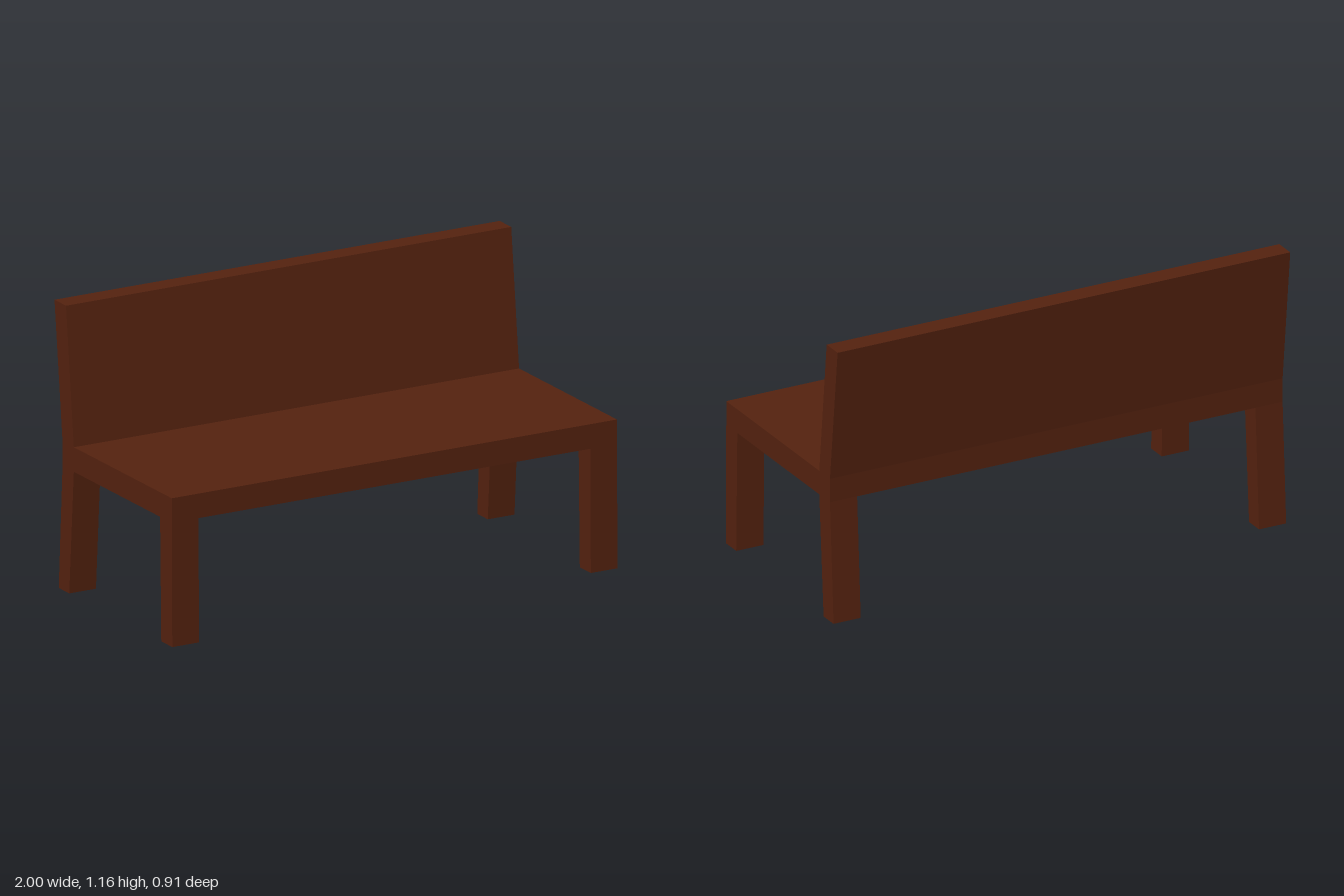
import * as THREE from 'three';

const LENGTH = 2, LEG_WIDTH = 0.12;

// Extrudes a side profile of [z, y] points along x, centred on x = cx
function sideProfile(name, points, width, cx, material) {
  const shape = new THREE.Shape(points.map(([z, y]) => new THREE.Vector2(z, y)));
  const geometry = new THREE.ExtrudeGeometry(shape, { depth: width, bevelEnabled: false });
  geometry.translate(0, 0, -width / 2);
  geometry.rotateY(-Math.PI / 2);
  const mesh = new THREE.Mesh(geometry, material);
  mesh.name = name;
  mesh.position.x = cx;
  return mesh;
}

export function createModel() {
  const bench = new THREE.Group();
  bench.name = 'bench';
  const wood = new THREE.MeshStandardMaterial({ color: 0x55220f });
  wood.name = 'dark brown wood';

  // Thick seat slab running the full length
  bench.add(sideProfile('seat',
    [[0.45, 0.505], [0.45, 0.605], [-0.392, 0.605], [-0.392, 0.505]], LENGTH, 0, wood));

  // Backrest leaning backwards from the rear of the seat
  bench.add(sideProfile('backrest',
    [[-0.305, 0.605], [-0.365, 1.165], [-0.454, 1.165], [-0.392, 0.605]], LENGTH, 0, wood));

  // Splayed legs flush with the ends
  for (const [side, s] of [['left', 1], ['right', -1]]) {
    const cx = s * (LENGTH - LEG_WIDTH) / 2;
    bench.add(sideProfile(side + 'FrontLeg',
      [[0.454, 0], [0.45, 0.505], [0.36, 0.505], [0.369, 0]], LEG_WIDTH, cx, wood));
    bench.add(sideProfile(side + 'BackLeg',
      [[-0.34, 0], [-0.305, 0.505], [-0.392, 0.505], [-0.421, 0]], LEG_WIDTH, cx, wood));
  }
  return bench;
}
